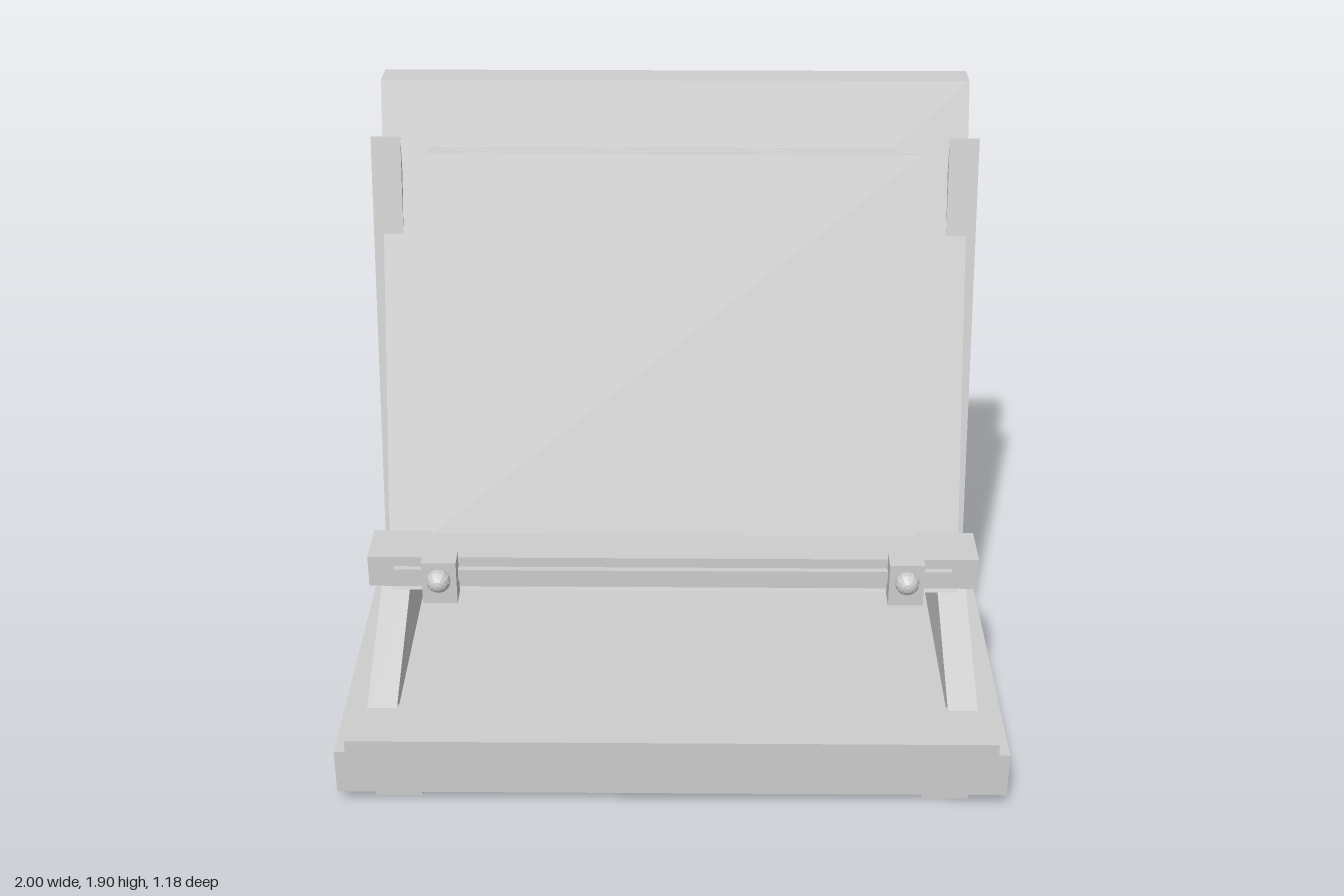
import * as THREE from 'three';

export function createModel() {
  const root = new THREE.Group();
  const grey = new THREE.MeshStandardMaterial({ color: 0xcccccc, flatShading: true });
  grey.name = 'light grey';

  const add = (name, geometry) => {
    const mesh = new THREE.Mesh(geometry, grey);
    mesh.name = name;
    root.add(mesh);
    return mesh;
  };

  // Box given by its lower and upper limits on each axis
  const block = (name, x0, x1, y0, y1, z0, z1) =>
    add(name, new THREE.BoxGeometry(x1 - x0, y1 - y0, z1 - z0))
      .position.set((x0 + x1) / 2, (y0 + y1) / 2, (z0 + z1) / 2);

  // Side profile of [z, y] points, extruded from x0 to x1
  const profile = (name, points, x0, x1) => {
    const shape = new THREE.Shape(points.map(([z, y]) => new THREE.Vector2(z, y)));
    const geometry = new THREE.ExtrudeGeometry(shape, { depth: x1 - x0, bevelEnabled: false });
    geometry.rotateY(-Math.PI / 2).translate(x1, 0, 0);
    return add(name, geometry);
  };

  // Leaning slab with level top and bottom ends; depth is measured along z
  const slab = (name, x0, x1, y0, zFront0, y1, zFront1, depth) =>
    profile(name, [[zFront0, y0], [zFront1, y1], [zFront1 - depth, y1], [zFront0 - depth, y0]], x0, x1);

  // Base with raised deck and front lip
  block('base', -1, 1, 0.04, 0.185, -0.38, 0.58);
  block('deck', -0.94, 0.94, 0.18, 0.21, -0.31, 0.41);
  block('frontLip', -0.965, 0.965, 0.17, 0.23, 0.4, 0.59);

  // Leaning back panel
  slab('backPanel', -0.89, 0.89, 0.4, 0.02, 1.9, -0.487, 0.096);

  // Stack of thin sheets in front of the panel
  for (let i = 0; i < 5; i++) {
    slab('sheet', -0.74, 0.74, 0.64, 0.08 - i * 0.0128, 1.735, -0.292 - i * 0.0128, 0.0075);
  }

  // Cross bar with its front rail
  block('crossBar', -0.925, 0.925, 0.52, 0.622, 0.03, 0.19);
  block('rail', -0.845, 0.845, 0.55, 0.59, 0.18, 0.21);

  for (const side of [-1, 1]) {
    const span = (a, b) => (side > 0 ? [a, b] : [-b, -a]);

    // Upright side support with sloping foot
    profile('sideSupport', [
      [-0.397, 0.18], [0.46, 0.18], [0.46, 0.213], [-0.138, 0.462], [-0.155, 0.56], [-0.397, 1.75],
    ], ...span(0.83, 0.92));

    // Narrow strip along the rear edge of the panel
    slab('rearStrip', ...span(0.86, 0.887), 0.44, -0.085, 1.85, -0.56, 0.028);

    // Clamp and knob on the rail
    block('clamp', ...span(0.65, 0.755), 0.5, 0.64, 0.185, 0.255);
    const knob = add('knob', new THREE.SphereGeometry(0.037, 12, 8));
    knob.rotation.x = Math.PI / 2;
    knob.position.set(side * 0.703, 0.585, 0.264);

    // Feet
    block('frontFoot', ...span(0.75, 0.89), 0, 0.045, 0.4, 0.545);
    block('rearFoot', ...span(0.75, 0.89), 0, 0.045, -0.325, -0.18);
  }
  return root;
}
